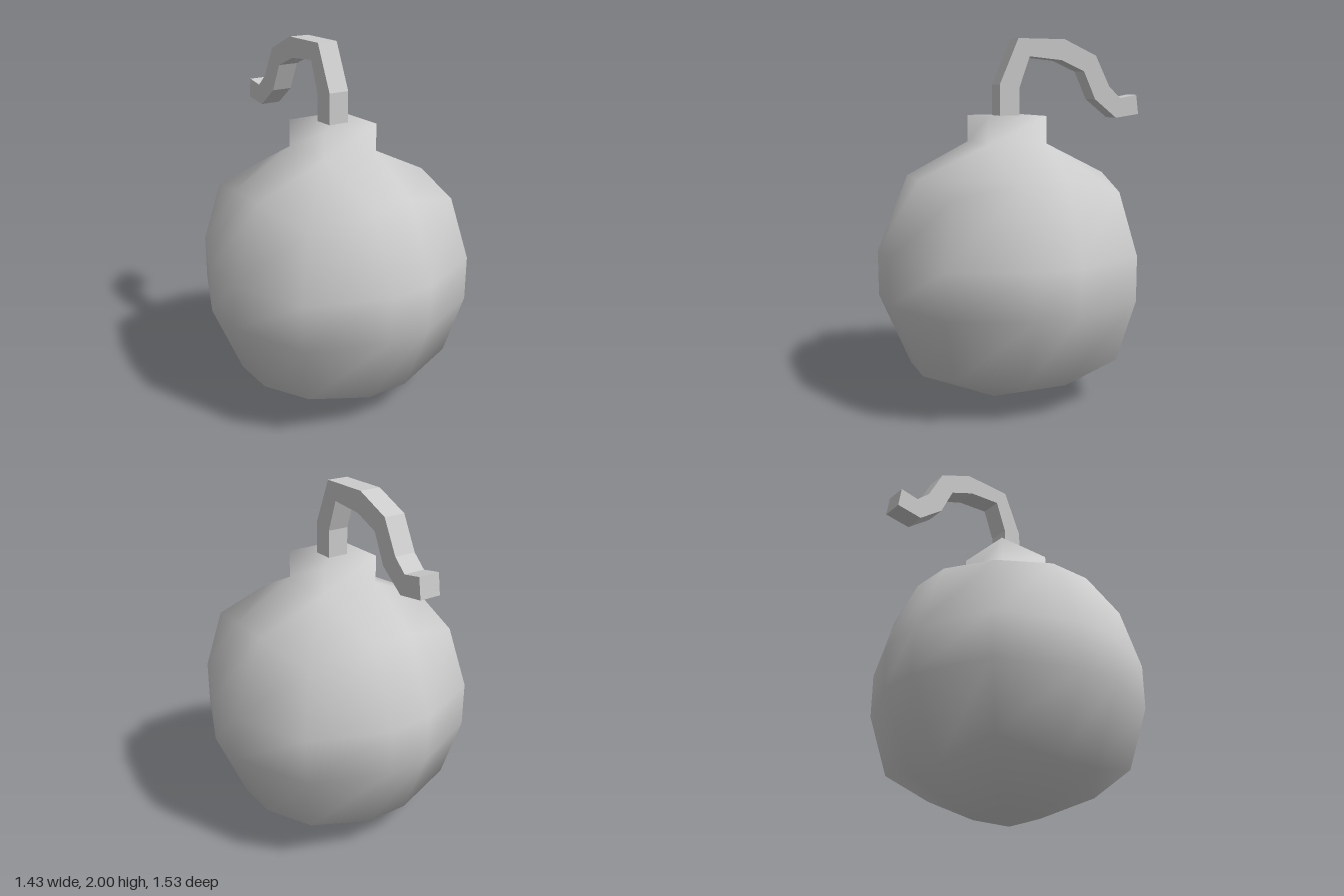
import * as THREE from 'three';
import { mergeGeometries, mergeVertices } from 'three/addons/utils/BufferGeometryUtils.js';

const R = 0.715;        // body half height
const NECK = 0.17;      // neck half width
const NECK_H = 0.15;
const CENTER_Z = 0.05;

// Keep positions only, and cut a run of indices out
function openBox(geometry, start, count) {
  geometry.deleteAttribute('uv');
  geometry.deleteAttribute('normal');
  const index = Array.from(geometry.index.array);
  index.splice(start, count);
  geometry.setIndex(index);
  return geometry;
}

// Cube of 3 x 3 faces rounded into a ball, with a square neck raised from the top quad
function bodyGeometry() {
  const ball = openBox(new THREE.BoxGeometry(2, 2, 2, 3, 3, 3), 2 * 54 + 4 * 6, 6);
  const pos = ball.attributes.position;
  const outerSize = [0, R, 0.54, 0.466]; // face, edge and corner points
  for (let i = 0; i < pos.count; i++) {
    const p = [pos.getX(i), pos.getY(i), pos.getZ(i)];
    const outer = p.filter((c) => Math.abs(c) > 0.9).length;
    const inner = outer === 1 && p[1] > 0.9 ? NECK : 0.125;
    const [x, y, z] = p.map((c) => Math.sign(c) * (Math.abs(c) > 0.9 ? outerSize[outer] : inner));
    pos.setXYZ(i, x, y + R, z);
  }
  // Neck without its bottom face
  const neck = openBox(new THREE.BoxGeometry(2 * NECK, NECK_H, 2 * NECK), 18, 6);
  neck.translate(0, 2 * R + NECK_H / 2, 0);

  const merged = mergeVertices(mergeGeometries([ball, neck]), 1e-3);
  merged.computeVertexNormals();
  return merged.translate(0, 0, CENTER_Z);
}

// Bent square fuse: side outline (z, y) extruded across x
function fuseGeometry() {
  const outline = [
    [0.11, 1.58], [0.11, 1.75], [0, 2], [-0.28, 2], [-0.477, 1.913],
    [-0.566, 1.74], [-0.64, 1.673], [-0.746, 1.692],
    [-0.762, 1.58], [-0.614, 1.56], [-0.476, 1.667], [-0.402, 1.825],
    [-0.26, 1.885], [-0.067, 1.903], [-0.005, 1.73], [-0.005, 1.58],
  ];
  const shape = new THREE.Shape(outline.map(([z, y]) => new THREE.Vector2(z, y)));
  const geometry = new THREE.ExtrudeGeometry(shape, { depth: 0.12, bevelEnabled: false });
  return geometry.rotateY(-Math.PI / 2).translate(0.06, 0, 0);
}

export function createModel() {
  const group = new THREE.Group();
  const add = (name, geometry, options = {}) => {
    const mesh = new THREE.Mesh(geometry, new THREE.MeshStandardMaterial({ color: 0xcccccc, ...options }));
    mesh.name = name;
    group.add(mesh);
  };
  add('body', bodyGeometry());
  add('fuse', fuseGeometry(), { flatShading: true });
  return group;
}
